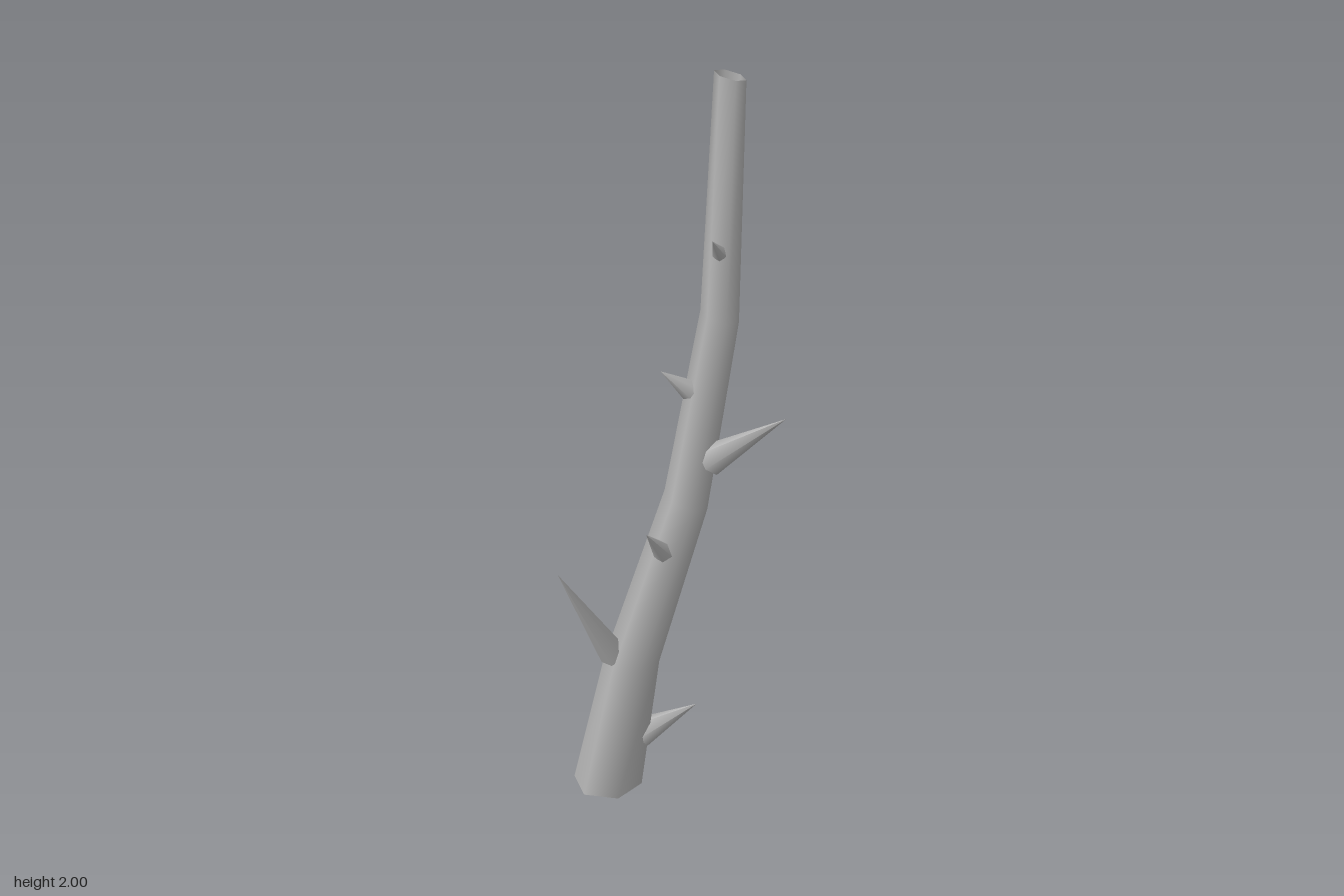
import * as THREE from 'three';
import { mergeVertices } from 'three/addons/utils/BufferGeometryUtils.js';

export function createModel() {
  const group = new THREE.Group();
  const bark = new THREE.MeshStandardMaterial({ color: 0xb4b4b4, side: THREE.DoubleSide });
  bark.name = 'grey bark';
  const add = (geometry, name) => {
    const mesh = new THREE.Mesh(geometry, bark);
    mesh.name = name;
    group.add(mesh);
    return mesh;
  };

  // Stem: open six-sided tube; each ring is [left x, left y, right x, right y, z radius], top first
  const rings = [
    [0.088, 2.0, 0.164, 1.98, 0.042],
    [0.06, 1.415, 0.156, 1.39, 0.049],
    [-0.03, 0.92, 0.082, 0.875, 0.06],
    [-0.2, 0.395, -0.046, 0.405, 0.073],
    [-0.292, 0, -0.098, 0, 0.097],
  ];
  let stem = new THREE.CylinderGeometry(1, 1, 1, 6, rings.length - 1, true, Math.PI / 2);
  const pos = stem.attributes.position;
  for (let i = 0; i < pos.count; i++) {
    const [lx, ly, rx, ry, r] = rings[Math.floor(i / 7)];
    const t = (pos.getX(i) + 1) / 2;
    pos.setXYZ(i, lx + (rx - lx) * t, ly + (ry - ly) * t, -0.029 + pos.getZ(i) * r);
  }
  // Weld the seam so the shading runs smoothly around the stem
  stem.deleteAttribute('uv');
  stem.deleteAttribute('normal');
  stem = mergeVertices(stem);
  stem.computeVertexNormals();
  add(stem, 'stem');

  // Thorns: [base centre, tip, base radius]
  const thorns = [
    [[-0.165, 0.43, 0.003], [-0.275, 0.737, 0.145], 0.038],
    [[-0.1, 0.16, -0.045], [0.052, 0.262, -0.058], 0.042],
    [[-0.025, 0.76, 0.014], [-0.052, 0.852, 0.102], 0.028],
    [[0.09, 1.02, -0.015], [0.288, 1.172, 0.04], 0.042],
    [[0.04, 1.212, -0.003], [-0.026, 1.275, 0.043], 0.028],
    [[0.086, 1.335, -0.062], [0.07, 1.402, -0.147], 0.028],
    [[0.112, 1.572, 0.003], [0.105, 1.62, 0.066], 0.02],
  ];
  const up = new THREE.Vector3(0, 1, 0);
  thorns.forEach(([base, tip, radius], i) => {
    const a = new THREE.Vector3(...base);
    const dir = new THREE.Vector3(...tip).sub(a);
    const length = dir.length();
    const cone = new THREE.ConeGeometry(radius, length, 6, 1, true).translate(0, length / 2, 0);
    const thorn = add(cone, 'thorn' + (i + 1));
    thorn.position.copy(a);
    thorn.quaternion.setFromUnitVectors(up, dir.normalize());
  });
  return group;
}
